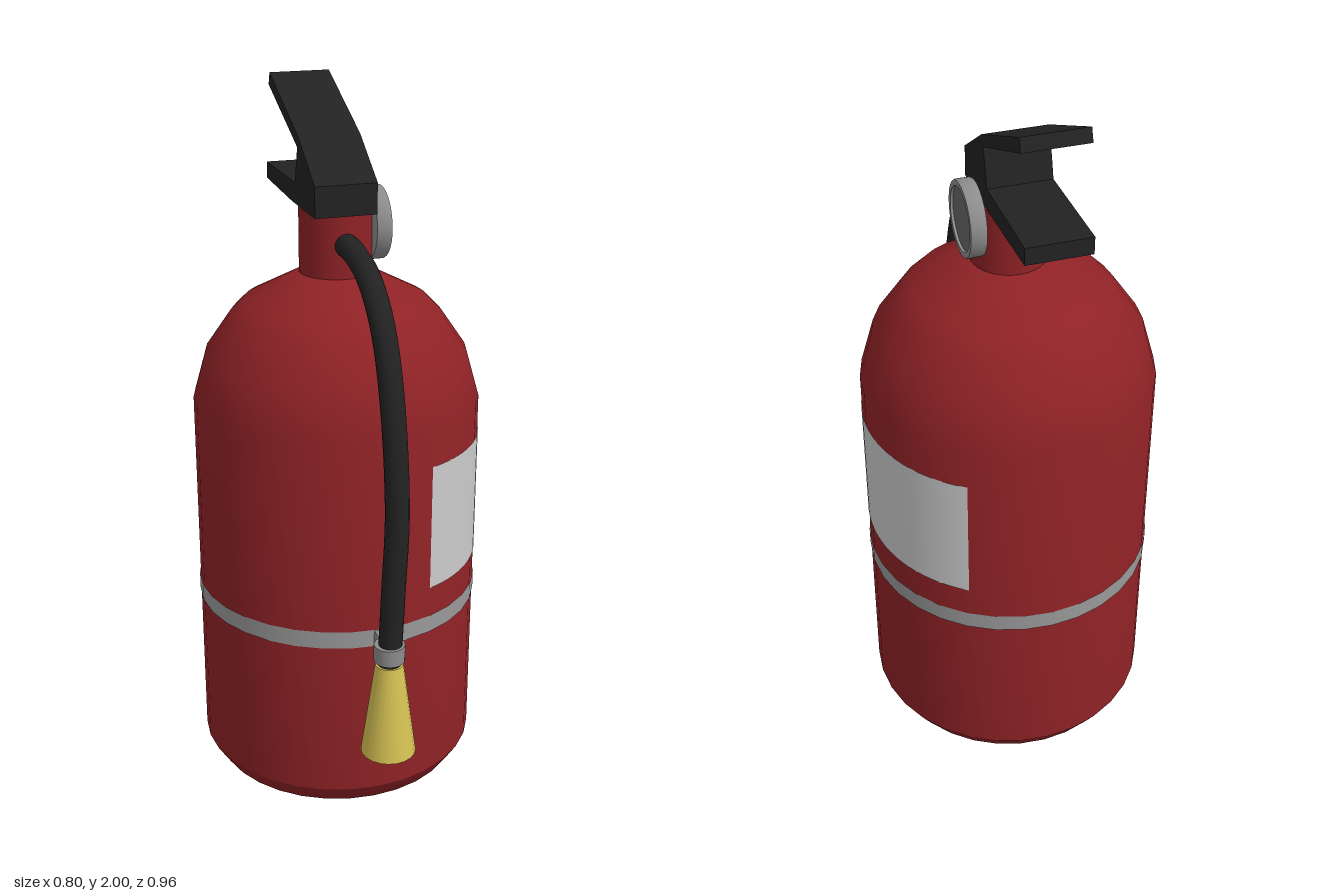
import * as THREE from 'three';
import { toCreasedNormals } from 'three/addons/utils/BufferGeometryUtils.js';

const AXIS_Z = -0.08; // tank axis
const RADIUS = 0.397;
const HOSE_Z = 0.4;   // hanging end of the hose

const material = (color, side = THREE.FrontSide) => new THREE.MeshStandardMaterial({ color, side });
const red = material(0x8f2226);
const black = material(0x222222);
const steel = material(0x8c8c8c);
const darkSteel = material(0x666666);
const brass = material(0xd6c254);
const paper = material(0xcccccc, THREE.DoubleSide);
const strap = material(0x999999, THREE.DoubleSide);

const points = (list) => list.map(([x, y]) => new THREE.Vector2(x, y));

export function createModel() {
  const model = new THREE.Group();
  const add = (name, geometry, mat, x = 0, y = 0, z = 0) => {
    const mesh = new THREE.Mesh(geometry, mat);
    mesh.name = name;
    mesh.position.set(x, y, z);
    model.add(mesh);
    return mesh;
  };

  // Tank with chamfered foot and rounded shoulder
  const tankProfile = points([
    [0, 0], [0.285, 0], [0.36, 0.052], [RADIUS, 0.11], [RADIUS, 1.165],
    [0.36, 1.295], [0.29, 1.397], [0.254, 1.434], [0.1, 1.515], [0, 1.515],
  ]);
  add('tank', toCreasedNormals(new THREE.LatheGeometry(tankProfile, 32), 0.55), red, 0, 0, AXIS_Z);
  add('neck', new THREE.CylinderGeometry(0.1, 0.1, 0.19, 32), red, 0, 1.595, AXIS_Z);

  // Label wrapped on the left side, and the strap all round
  add('label', new THREE.CylinderGeometry(RADIUS + 0.002, RADIUS + 0.002, 0.36, 32, 1, true, 0.39, 2.18),
    paper, 0, 0.885, AXIS_Z);
  add('strap', new THREE.CylinderGeometry(RADIUS + 0.003, RADIUS + 0.003, 0.05, 32, 1, true),
    strap, 0, 0.595, AXIS_Z);

  // Valve head with both levers: side profile (depth, height) extruded across x
  const side = new THREE.Shape(points([
    [-0.045, 1.69], [-0.045, 1.773], [0.1, 1.873], [0.38, 2.0], [0.392, 1.966],
    [0.113, 1.845], [0.14, 1.746], [0.428, 1.746], [0.428, 1.7], [0.17, 1.69],
  ]));
  const levers = new THREE.ExtrudeGeometry(side, { depth: 0.17, bevelEnabled: false });
  levers.rotateY(Math.PI / 2);
  add('levers', levers, black, -0.095, 0, 0);

  // Pressure gauge: raised rim round a recessed face
  const gaugeProfile = points([
    [0, 0], [0.098, 0], [0.1, 0.005], [0.1, 0.037], [0.098, 0.042], [0.084, 0.042], [0.084, 0.034],
  ]);
  const rim = add('gaugeRim', toCreasedNormals(new THREE.LatheGeometry(gaugeProfile, 32), 0.5),
    steel, 0.085, 1.64, AXIS_Z);
  const face = add('gaugeFace', new THREE.CircleGeometry(0.085, 32), darkSteel, 0.12, 1.64, AXIS_Z);
  rim.rotation.z = -Math.PI / 2;
  face.rotation.y = Math.PI / 2;

  // Hose from neck to nozzle
  const hosePath = new THREE.CatmullRomCurve3([
    [0, 1.605, 0], [0, 1.605, 0.06], [0.003, 1.565, 0.19], [0.007, 1.47, 0.285],
    [0.012, 1.3, 0.35], [0.015, 1.0, 0.395], [0.005, 0.78, 0.402], [-0.003, 0.55, HOSE_Z],
  ].map((p) => new THREE.Vector3(...p)));
  add('hose', new THREE.TubeGeometry(hosePath, 48, 0.032, 16), black);

  // Clip holding the hose to the strap
  add('clipRing', new THREE.CylinderGeometry(0.042, 0.042, 0.048, 20), steel, -0.003, 0.595, HOSE_Z);
  add('clipArm', new THREE.BoxGeometry(0.03, 0.046, 0.08), steel, -0.003, 0.595, 0.345);

  // Flared nozzle
  add('nozzle', new THREE.CylinderGeometry(0.038, 0.075, 0.27, 20), brass, -0.003, 0.425, HOSE_Z);

  return model;
}
